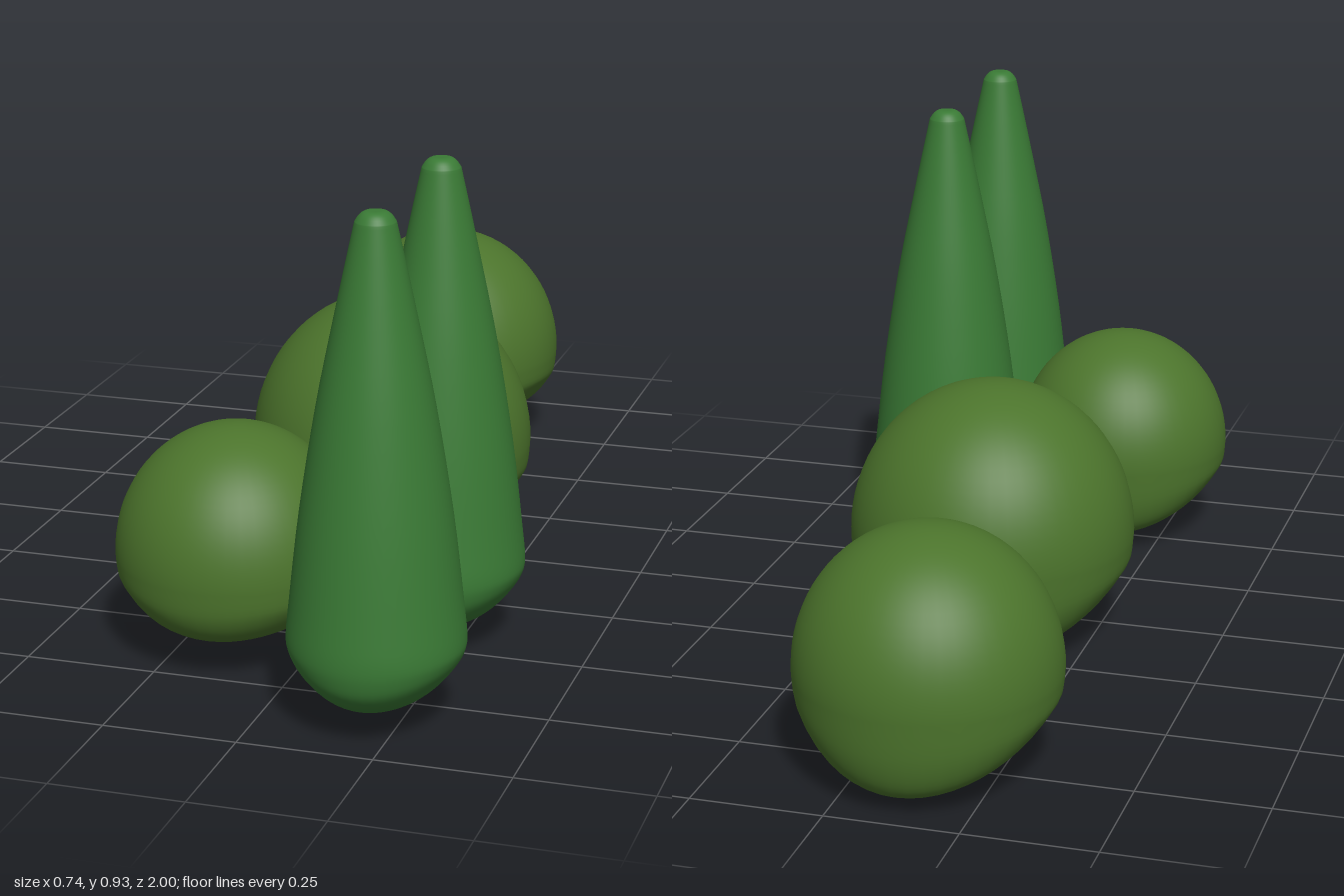
import * as THREE from 'three';
import { mergeVertices } from 'three/addons/utils/BufferGeometryUtils.js';

const bushMaterial = new THREE.MeshStandardMaterial({ color: 0x4c742c });
const cypressMaterial = new THREE.MeshStandardMaterial({ color: 0x3a7a35 });

// Turned foliage whose underside is bent: a soft keel along z, sloping down to the back
function foliage(points, radius, bendHeight, keel, tilt) {
  const turned = new THREE.LatheGeometry(points, 48);
  turned.deleteAttribute('uv');
  turned.deleteAttribute('normal');
  const geometry = mergeVertices(turned, 1e-5);
  const p = geometry.attributes.position;
  for (let i = 0; i < p.count; i++) {
    const x = p.getX(i) / radius, y = p.getY(i), z = p.getZ(i) / radius;
    const fade = 1 - THREE.MathUtils.smoothstep(y, 0, bendHeight);
    p.setY(i, y + radius * fade * (keel * x * x + tilt * (z + 0.55)));
  }
  geometry.computeVertexNormals();
  return geometry;
}

// Round bush: rolled lower edge below the widest ring, domed above it
function bushGeometry() {
  const lower = new THREE.SplineCurve([
    [0, 0], [0.45, 0.005], [0.72, 0.05], [0.88, 0.16], [0.97, 0.4], [1, 0.76],
  ].map(([r, y]) => new THREE.Vector2(r, y))).getPoints(24);
  const dome = [];
  for (let i = 1; i <= 20; i++) {
    const a = (i / 20) * Math.PI / 2;
    dome.push(new THREE.Vector2(i === 20 ? 0 : Math.cos(a), 0.76 + 1.07 * Math.sin(a)));
  }
  return foliage([...lower, ...dome], 1, 0.75, 0.3, 0.12);
}

// Tall cypress: rounded foot and long taper to a small blunt tip
function cypressGeometry() {
  const side = new THREE.SplineCurve([
    [0, 0], [0.07, 0.002], [0.115, 0.018], [0.145, 0.05], [0.157, 0.09], [0.16, 0.135],
    [0.154, 0.2], [0.135, 0.365], [0.105, 0.555], [0.073, 0.715], [0.041, 0.865],
    [0.034, 0.89], [0.02, 0.904], [0, 0.905],
  ].map(([r, y]) => new THREE.Vector2(r, y))).getPoints(52);
  side[0].x = side[side.length - 1].x = 0;
  return foliage(side, 0.16, 0.16, 0.35, 0.1);
}

export function createModel() {
  const model = new THREE.Group();

  // Bushes: x, base height, z, radius
  const bush = bushGeometry();
  [
    ['backBush', -0.118, 0.02, -0.753, 0.247],
    ['middleBush', -0.042, 0.002, -0.078, 0.283],
    ['frontBush', -0.147, 0.03, 0.578, 0.225],
  ].forEach(([name, x, y, z, r]) => {
    const mesh = new THREE.Mesh(bush, bushMaterial);
    mesh.name = name;
    mesh.position.set(x, y, z);
    mesh.scale.setScalar(r);
    model.add(mesh);
  });

  // Pair of cypresses
  const cypress = cypressGeometry();
  [['rearCypress', 0.437], ['frontCypress', 0.84]].forEach(([name, z]) => {
    const mesh = new THREE.Mesh(cypress, cypressMaterial);
    mesh.name = name;
    mesh.position.set(0.208, 0.035, z);
    model.add(mesh);
  });

  return model;
}
